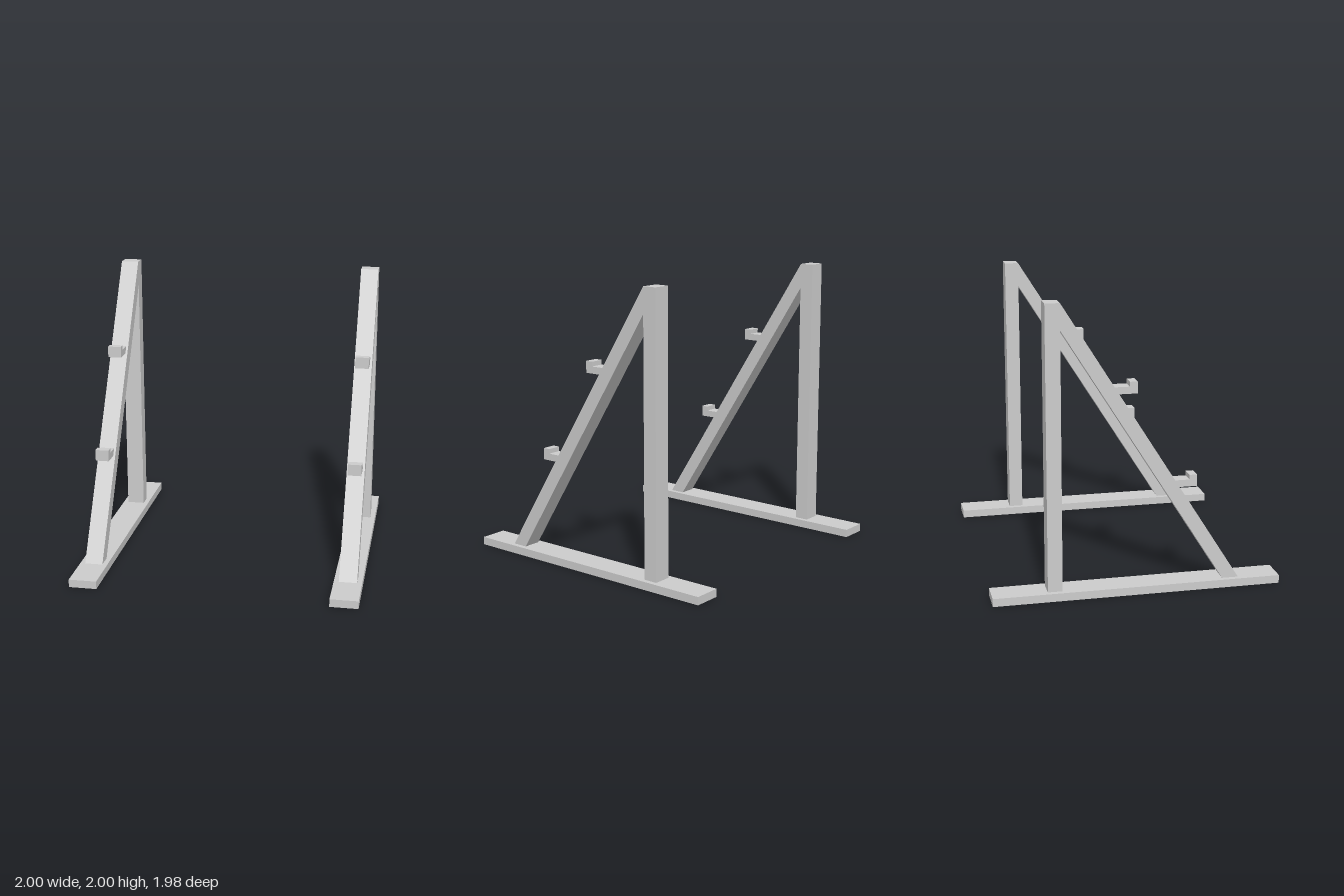
import * as THREE from 'three';

const material = new THREE.MeshStandardMaterial({ color: 0xcccccc, flatShading: true });

// Extrudes a side profile of [z, y] points to a width centred on x = 0.
function sidePart(name, points, width) {
  const shape = new THREE.Shape(points.map(([z, y]) => new THREE.Vector2(z, y)));
  const geometry = new THREE.ExtrudeGeometry(shape, { depth: width, bevelEnabled: false });
  geometry.translate(0, 0, -width / 2).rotateY(-Math.PI / 2);
  const mesh = new THREE.Mesh(geometry, material);
  mesh.name = name;
  return mesh;
}

function box(name, width, y0, y1, z0, z1) {
  const mesh = new THREE.Mesh(new THREE.BoxGeometry(width, y1 - y0, z1 - z0), material);
  mesh.position.set(0, (y0 + y1) / 2, (z0 + z1) / 2);
  mesh.name = name;
  return mesh;
}

const BASE_TOP = 0.056;
const POST_FRONT = -0.516;
const BEAM_WIDTH = 0.126;

function createFrame() {
  const frame = new THREE.Group();

  // Foot board and upright
  frame.add(box('base', 0.196, 0, BASE_TOP, -0.99, 0.99));
  frame.add(box('post', BEAM_WIDTH, BASE_TOP, 2, -0.616, POST_FRONT));

  // Sloping brace, cut flush with the base and the post
  frame.add(sidePart('brace', [
    [0.705, BASE_TOP], [POST_FRONT, 2], [POST_FRONT, 1.822], [0.593, BASE_TOP],
  ], BEAM_WIDTH));

  // Two L-shaped hooks, their backs cut to the slope of the brace
  [[0.405, 0.726], [-0.006, 1.385]].forEach(([z, y], i) => {
    const hook = sidePart(i ? 'upperHook' : 'lowerHook', [
      [0, 0], [0, 0.08], [-0.052, 0.08], [-0.052, 0.048], [-0.155, 0.048], [-0.125, 0],
    ], 0.096);
    hook.position.set(0, y, z);
    frame.add(hook);
  });
  return frame;
}

export function createModel() {
  const model = new THREE.Group();
  model.name = 'rack';
  for (const side of [-1, 1]) {
    const frame = createFrame();
    frame.name = side > 0 ? 'leftFrame' : 'rightFrame';
    frame.position.x = side * 0.902;
    model.add(frame);
  }
  return model;
}
